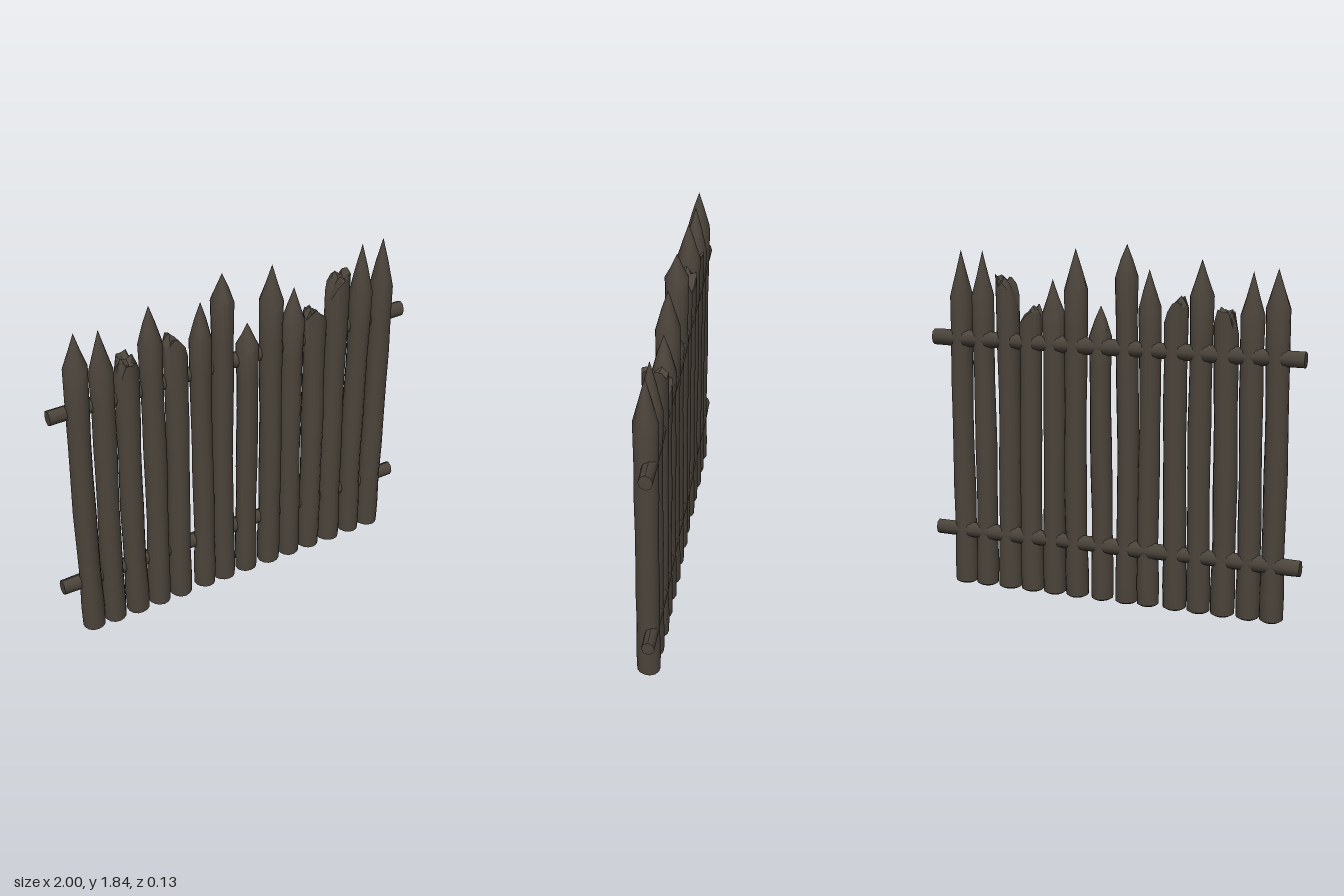
import * as THREE from 'three';
import { toCreasedNormals } from 'three/addons/utils/BufferGeometryUtils.js';

const wood = new THREE.MeshStandardMaterial({ color: 0x4b443b });
wood.name = 'weathered wood';

// Sharpened stakes: x, radius, shoulder height, tip height
const pointed = [
  [-0.855, 0.06, 1.55, 1.75], [-0.728, 0.06, 1.5, 1.73], [-0.465, 0.06, 1.59, 1.78],
  [-0.197, 0.057, 1.53, 1.72], [-0.08, 0.059, 1.69, 1.84], [0.062, 0.058, 1.39, 1.53],
  [0.202, 0.061, 1.6, 1.81], [0.325, 0.06, 1.46, 1.65], [0.722, 0.059, 1.53, 1.78],
  [0.852, 0.06, 1.53, 1.78],
];

// Snapped stakes: x, radius, then heights of the broken top from left to right
const broken = [
  [-0.598, 0.062, [1.4, 1.53, 1.52, 1.54, 1.46]],
  [-0.337, 0.061, [1.54, 1.585, 1.56, 1.52, 1.45]],
  [0.457, 0.06, [1.46, 1.505, 1.475, 1.45, 1.4]],
  [0.583, 0.062, [1.5, 1.6, 1.64, 1.615, 1.665]],
];

// Height of a broken top at t, from 0 on the left to 1 on the right
function sampleTop(heights, t) {
  const f = THREE.MathUtils.clamp(t, 0, 1) * (heights.length - 1);
  const i = Math.min(Math.floor(f), heights.length - 2);
  return THREE.MathUtils.lerp(heights[i], heights[i + 1], f - i);
}

// Lathed log, slightly bent and uneven along its height
function stake(r, shoulder, seed, tip, heights) {
  const profile = [[0, 0.012], [r * 0.7, 0], [r * 0.98, 0.01], [r * 1.02, 0.12]];
  for (let i = 1; i <= 6; i++) {
    const k = i / 7;
    profile.push([r * (0.95 + 0.03 * Math.sin(seed * 2.3 + i * 1.9)), 0.12 + k * (shoulder - 0.12)]);
  }
  profile.push([r, shoulder]);
  if (heights) profile.push([r * 0.9, shoulder], [r * 0.5, shoulder], [0, shoulder]);
  else profile.push([r * 0.52, shoulder + (tip - shoulder) * 0.5], [0, tip]);

  const geo = new THREE.LatheGeometry(profile.map(([a, b]) => new THREE.Vector2(a, b)), 14);
  const p = geo.attributes.position;
  for (let i = 0; i < p.count; i++) {
    const x = p.getX(i), y = p.getY(i), z = p.getZ(i);
    const a = Math.atan2(z, x);
    const bump = 1 + 0.025 * Math.sin(3 * a + seed + y * 2);
    let ny = y;
    if (heights && y > shoulder - 0.001) {
      ny = sampleTop(heights, 0.5 + x / (2 * r)) + 0.015 * Math.sin(z * 90 + seed);
    } else if (!heights && Math.abs(y - shoulder) < 0.001) {
      ny += 0.02 * Math.sin(2 * a + seed);
    }
    const bend = 0.004 * Math.sin(y * 3.5 + seed * 1.7);
    p.setXYZ(i, x * bump + bend, ny, z * bump);
  }
  return toCreasedNormals(geo, 0.6);
}

// Rough six-sided crossbar running behind the stakes
function rail(y, seed) {
  const geo = new THREE.CylinderGeometry(1, 1, 2, 8, 16);
  geo.rotateZ(Math.PI / 2);
  const p = geo.attributes.position;
  for (let i = 0; i < p.count; i++) {
    const x = p.getX(i);
    const w = 1 + 0.06 * Math.sin(x * 9 + seed);
    p.setXYZ(i, x, y + p.getY(i) * 0.042 * w, -0.022 + p.getZ(i) * 0.034 * w);
  }
  return toCreasedNormals(geo, 0.9);
}

export function createModel() {
  const model = new THREE.Group();
  model.name = 'palisadeFence';
  const add = (geo, name, x = 0) => {
    const mesh = new THREE.Mesh(geo, wood);
    mesh.name = name;
    mesh.position.x = x;
    model.add(mesh);
  };

  pointed.forEach(([x, r, shoulder, tip], i) => add(stake(r, shoulder, i + 1, tip), 'pointedStake' + (i + 1), x));
  broken.forEach(([x, r, heights], i) =>
    add(stake(r, Math.min(...heights) - 0.03, i + 20, 0, heights), 'brokenStake' + (i + 1), x));

  add(rail(1.325, 0.5), 'upperRail');
  add(rail(0.295, 2.5), 'lowerRail');
  return model;
}
